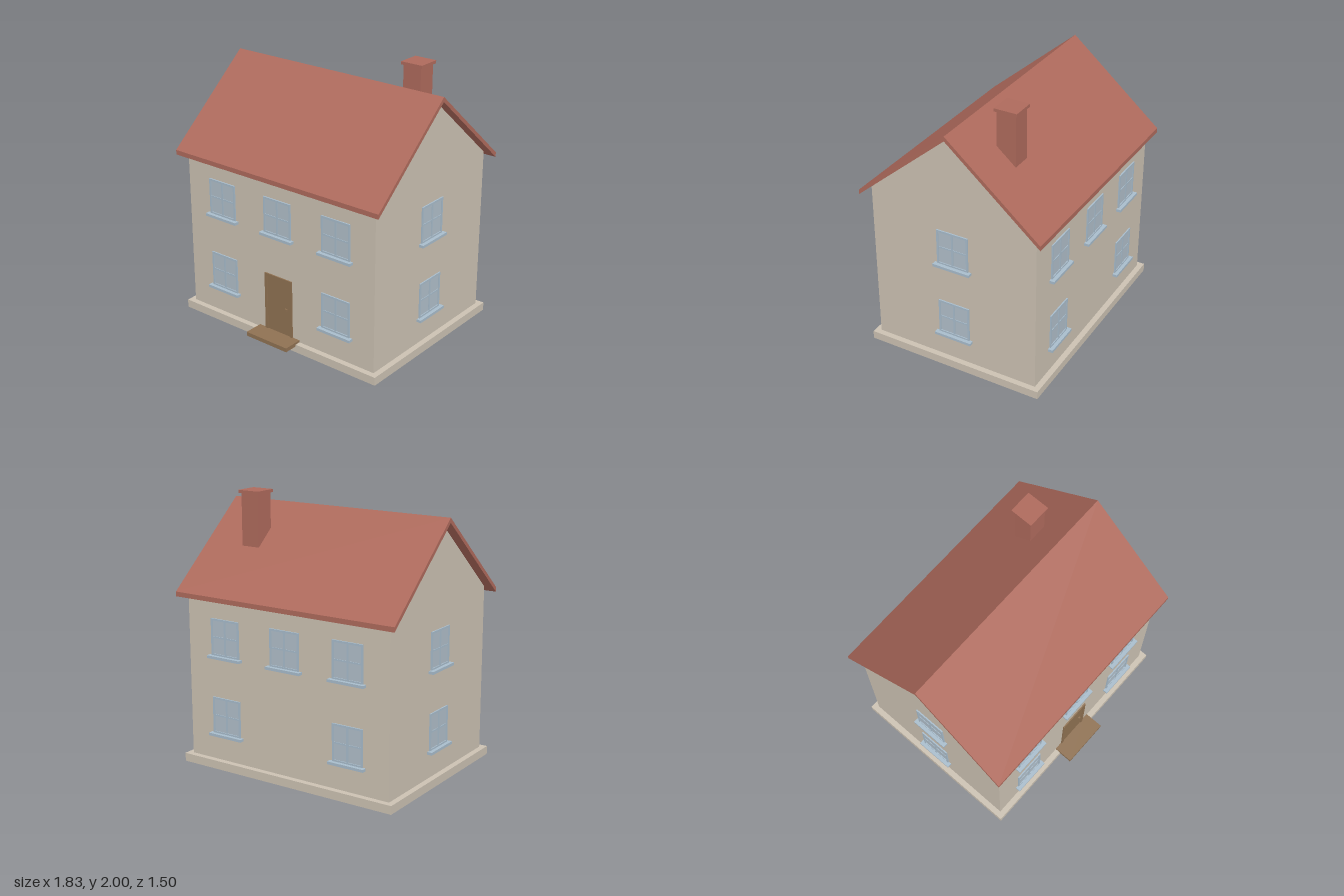
import * as THREE from 'three';

const mat = (name, color) => {
  const m = new THREE.MeshStandardMaterial({ color });
  m.name = name;
  return m;
};

export function createModel() {
  const house = new THREE.Group();
  house.name = 'house';

  const wall = mat('beige wall', 0xcbc1b2);
  const red = mat('red tile', 0xae6a5c);
  const brown = mat('brown wood', 0x8f7152);
  const frameBlue = mat('pale blue frame', 0xa8bccb);
  const glassBlue = mat('grey blue glass', 0xb0bec9);

  const add = (parent, name, geometry, material) => {
    const mesh = new THREE.Mesh(geometry, material);
    mesh.name = name;
    parent.add(mesh);
    return mesh;
  };

  // Box given by its lower and upper limits on each axis
  const box = (parent, name, material, [x0, x1], [y0, y1], [z0, z1]) => {
    const mesh = add(parent, name, new THREE.BoxGeometry(x1 - x0, y1 - y0, z1 - z0), material);
    mesh.position.set((x0 + x1) / 2, (y0 + y1) / 2, (z0 + z1) / 2);
    return mesh;
  };

  // Profile in (z, y), extruded along x and centred
  const extrudeAlongX = (name, points, width, material) => {
    const shape = new THREE.Shape(points.map(([z, y]) => new THREE.Vector2(-z, y)));
    const geometry = new THREE.ExtrudeGeometry(shape, { depth: width, bevelEnabled: false });
    geometry.translate(0, 0, -width / 2).rotateY(Math.PI / 2);
    return add(house, name, geometry, material);
  };

  const midZ = -0.04, halfW = 0.85, halfD = 0.645;

  // Plinth and gabled walls
  box(house, 'plinth', wall, [-0.893, 0.893], [0, 0.062], [-0.728, 0.648]);
  extrudeAlongX('walls', [
    [midZ - halfD, 0.05], [midZ + halfD, 0.05], [midZ + halfD, 1.295],
    [midZ, 1.846], [midZ - halfD, 1.295],
  ], halfW * 2, wall);

  // Roof: a folded slab with vertical eaves
  extrudeAlongX('roof', [
    [midZ, 1.89], [midZ - 0.706, 1.287], [midZ - 0.706, 1.252],
    [midZ, 1.855], [midZ + 0.706, 1.252], [midZ + 0.706, 1.287],
  ], 1.83, red);

  // Chimney on the back slope
  box(house, 'chimneyStack', red, [0.443, 0.59], [1.565, 1.98], [-0.382, -0.237]);
  box(house, 'chimneyCap', red, [0.43, 0.605], [1.978, 2.0], [-0.397, -0.224]);

  // Surround with a rectangular opening
  const surround = (w, y0, y1, hw, hy0, hy1, depth) => {
    const shape = new THREE.Shape([
      new THREE.Vector2(-w, y0), new THREE.Vector2(w, y0),
      new THREE.Vector2(w, y1), new THREE.Vector2(-w, y1),
    ]);
    shape.holes.push(new THREE.Path([
      new THREE.Vector2(-hw, hy0), new THREE.Vector2(-hw, hy1),
      new THREE.Vector2(hw, hy1), new THREE.Vector2(hw, hy0),
    ]));
    return new THREE.ExtrudeGeometry(shape, { depth, bevelEnabled: false });
  };

  // Window facing +z, with its sill top at y = 0
  const addWindow = (name, x, y, z, turn) => {
    const w = new THREE.Group();
    w.name = name;
    add(w, 'windowFrame', surround(0.123, 0, 0.271, 0.109, 0.012, 0.256, 0.01), frameBlue);
    box(w, 'windowGlass', glassBlue, [-0.11, 0.11], [0.01, 0.258], [-0.004, 0.003]);
    box(w, 'verticalBar', frameBlue, [-0.007, 0.007], [0.01, 0.258], [0, 0.008]);
    box(w, 'horizontalBar', frameBlue, [-0.11, 0.11], [0.128, 0.14], [0, 0.007]);
    box(w, 'windowSill', frameBlue, [-0.145, 0.145], [-0.02, 0], [-0.005, 0.037]);
    w.position.set(x, y, z);
    w.rotation.y = turn;
    house.add(w);
  };

  for (const [floor, y] of [['lower', 0.264], ['upper', 0.848]]) {
    for (const x of [-0.52, 0, 0.52]) {
      if (x === 0 && floor === 'lower') continue;
      addWindow(`${floor}FrontWindow`, x, y, midZ + halfD, 0);
      addWindow(`${floor}BackWindow`, x, y, midZ - halfD, Math.PI);
    }
    addWindow(`${floor}LeftWindow`, halfW, y, midZ, Math.PI / 2);
    addWindow(`${floor}RightWindow`, -halfW, y, midZ, -Math.PI / 2);
  }

  // Front door, handle and step
  const door = new THREE.Group();
  door.name = 'frontDoor';
  door.position.z = midZ + halfD;
  house.add(door);
  add(door, 'doorFrame', surround(0.126, 0.06, 0.526, 0.105, 0.07, 0.504, 0.01), brown);
  box(door, 'doorPanel', brown, [-0.106, 0.106], [0.065, 0.505], [-0.004, 0.003]);
  box(door, 'doorHandle', brown, [0.062, 0.08], [0.276, 0.294], [0, 0.014]);
  box(door, 'doorStep', brown, [-0.188, 0.188], [0.047, 0.078], [-0.01, 0.147]);

  return house;
}
